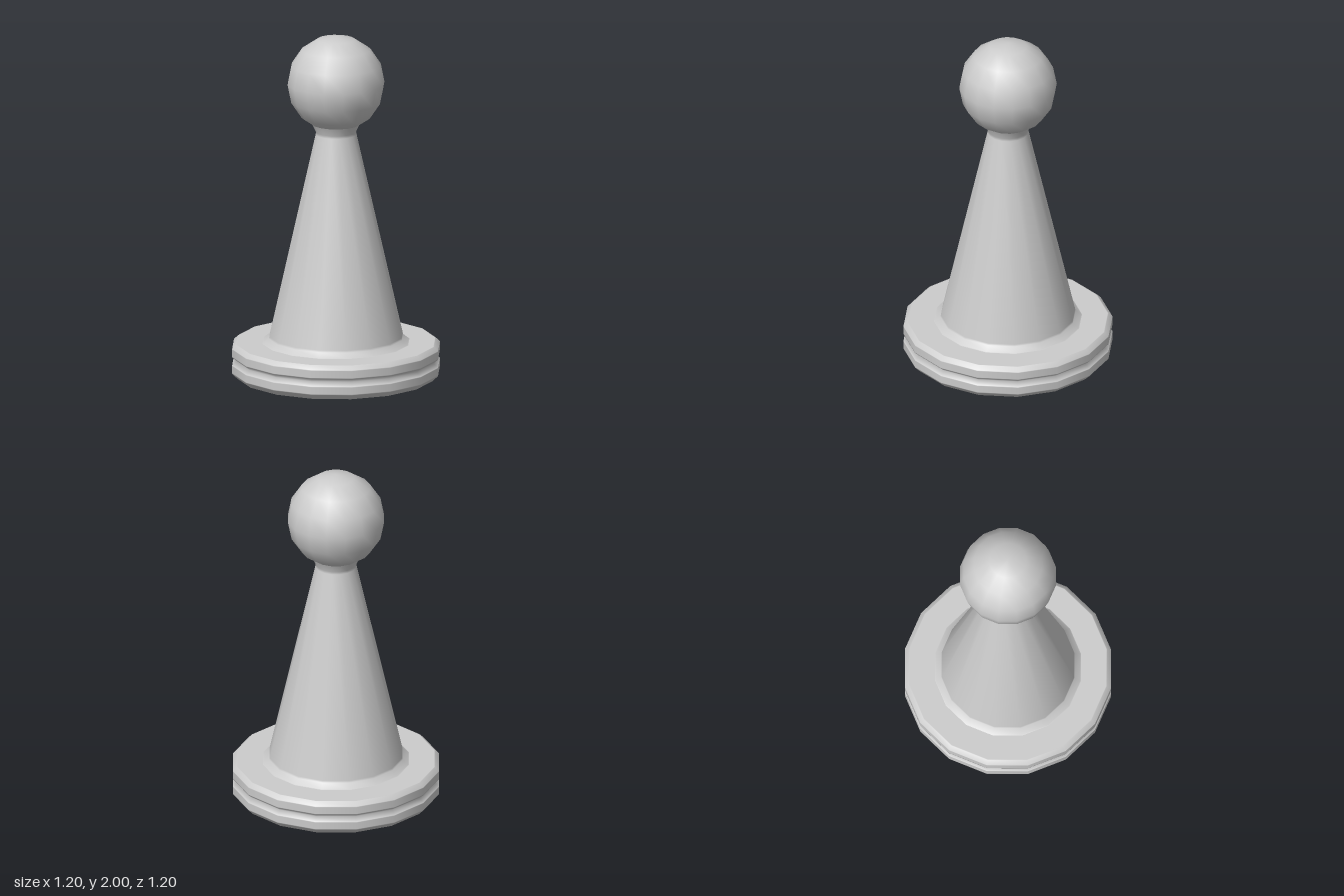
import * as THREE from 'three';

const SIDES = 16;
const material = new THREE.MeshStandardMaterial({ color: 0xcccccc });

// Turned part from [radius, height] pairs, listed bottom to top
function turned(name, profile) {
  const points = profile.map(([r, y]) => new THREE.Vector2(r, y));
  const mesh = new THREE.Mesh(new THREE.LatheGeometry(points, SIDES), material);
  mesh.name = name;
  return mesh;
}

export function createModel() {
  const model = new THREE.Group();
  model.name = 'pawn';

  // Disc base with bevelled rims and a V groove; close point pairs keep the flats flat
  model.add(turned('base', [
    [0, 0], [0.565, 0], [0.57, 0],
    [0.6, 0.03], [0.6, 0.035], [0.6, 0.075], [0.6, 0.08],
    [0.573, 0.103],
    [0.6, 0.126], [0.6, 0.131], [0.6, 0.172], [0.6, 0.177],
    [0.577, 0.2], [0.572, 0.2], [0.41, 0.2],
  ]));

  // Tapered shaft with a small fillet at the foot and a flare under the head
  model.add(turned('shaft', [
    [0.425, 0.2], [0.42, 0.202], [0.388, 0.228], [0.385, 0.24],
    [0.118, 1.42], [0.115, 1.435], [0.137, 1.482],
  ]));

  // Ball head
  const head = new THREE.Mesh(new THREE.SphereGeometry(0.28, SIDES, SIDES / 2), material);
  head.name = 'head';
  head.position.y = 1.72;
  model.add(head);

  return model;
}
